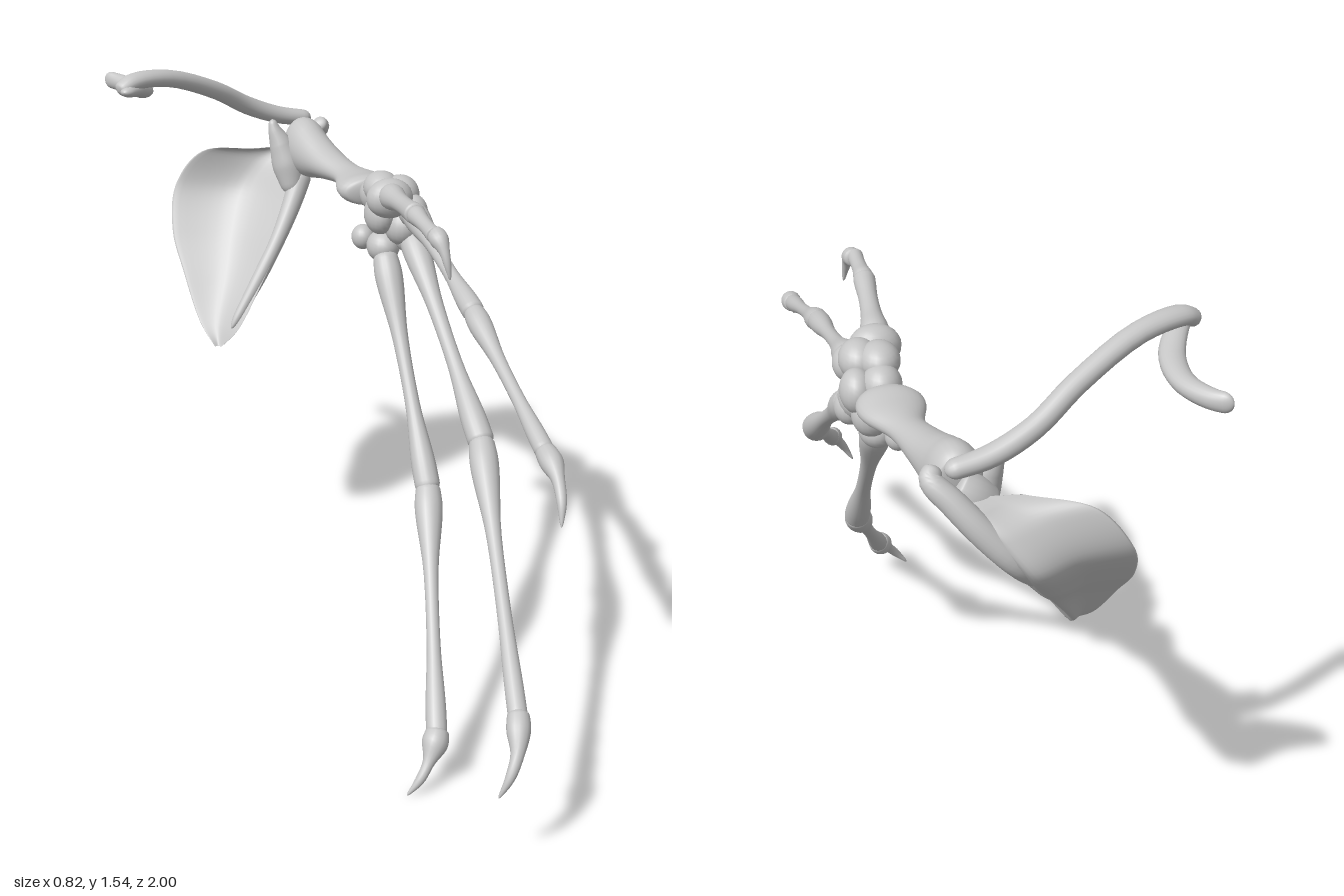
import * as THREE from 'three';

const V = (a) => new THREE.Vector3(a[0], a[1], a[2]);

// Skin a list of rings (each an array of Vector3, anticlockwise about the path) and close both ends
function skin(rings) {
  const n = rings[0].length, pos = [], idx = [];
  rings.forEach((r) => r.forEach((p) => pos.push(p.x, p.y, p.z)));
  for (let i = 0; i < rings.length - 1; i++) {
    for (let j = 0; j < n; j++) {
      const k = (j + 1) % n, a = i * n + j, b = i * n + k;
      idx.push(a, b, a + n, b, b + n, a + n);
    }
  }
  const last = (rings.length - 1) * n;
  [rings[0], rings[rings.length - 1]].forEach((r, e) => {
    const c = r.reduce((s, p) => s.add(p), new THREE.Vector3()).divideScalar(n);
    const ci = pos.length / 3;
    pos.push(c.x, c.y, c.z);
    for (let j = 0; j < n; j++) {
      const k = (j + 1) % n;
      if (e === 0) idx.push(ci, k, j);
      else idx.push(ci, last + j, last + k);
    }
  });
  const g = new THREE.BufferGeometry();
  g.setAttribute('position', new THREE.Float32BufferAttribute(pos, 3));
  g.setIndex(idx);
  g.computeVertexNormals();
  return g;
}

// Rounded bone through stations [x, y, z, half width, half height]
function boneGeometry(stations, cap = 0.08, rows = 36, sides = 20) {
  const path = new THREE.CatmullRomCurve3(stations.map(V));
  const size = new THREE.CatmullRomCurve3(
    stations.map((s) => new THREE.Vector3(s[3], s[4] ?? s[3], 0)), false, 'catmullrom');
  const rings = [];
  for (let i = 0; i <= rows; i++) {
    const t = (1 - Math.cos((Math.PI * i) / rows)) / 2;
    const s = Math.min(1, Math.min(t, 1 - t) / cap);
    const f = Math.max(0.02, Math.sqrt(1 - (1 - s) ** 2));
    const p = path.getPoint(t), dir = path.getTangent(t), r = size.getPoint(t);
    const u = new THREE.Vector3(0, 1, 0).cross(dir).normalize();
    const v = dir.clone().cross(u);
    const ring = [];
    for (let j = 0; j < sides; j++) {
      const a = (j / sides) * Math.PI * 2;
      ring.push(p.clone().addScaledVector(u, Math.cos(a) * r.x * f)
        .addScaledVector(v, Math.sin(a) * r.y * f));
    }
    rings.push(ring);
  }
  return skin(rings);
}

// Shoulder blade: rows of [inner edge, back ridge, outer edge], dished at the front
function bladeGeometry() {
  const rows = [
    [[-0.15, 0.715, -0.65], [-0.14, 0.715, -0.665], [-0.13, 0.715, -0.645]],
    [[-0.18, 0.77, -0.71], [-0.13, 0.77, -0.73], [-0.085, 0.77, -0.625]],
    [[-0.21, 0.9, -0.81], [-0.06, 0.9, -0.83], [0, 0.9, -0.665]],
    [[-0.225, 1.0, -0.89], [-0.02, 0.98, -0.91], [0.06, 1.0, -0.7]],
    [[-0.2, 1.12, -0.96], [0.03, 1.09, -0.995], [0.12, 1.1, -0.74]],
    [[-0.12, 1.22, -0.95], [0.09, 1.17, -0.975], [0.165, 1.19, -0.78]],
    [[0.03, 1.235, -0.89], [0.14, 1.23, -0.93], [0.19, 1.25, -0.83]],
  ].map((r) => {
    const [m, ridge, l] = r.map(V);
    const mid = m.clone().lerp(l, 0.5);
    return [m, mid.clone().lerp(ridge, 0.42), l,
      l.clone().lerp(ridge, 0.5).lerp(mid, 0.03), ridge,
      ridge.clone().lerp(m, 0.5).lerp(mid, 0.1)];
  });
  const columns = rows[0].map((_, j) => new THREE.CatmullRomCurve3(rows.map((r) => r[j])));
  const rings = [];
  for (let i = 0; i <= 48; i++) {
    const loop = new THREE.CatmullRomCurve3(columns.map((c) => c.getPoint(i / 48)), true);
    rings.push(Array.from({ length: 48 }, (_, j) => loop.getPoint(j / 48)));
  }
  return skin(rings);
}

export function createModel() {
  const model = new THREE.Group();
  model.name = 'foreLimbSkeleton';
  const bone = new THREE.MeshStandardMaterial({ color: 0xc6c6c6 });
  bone.name = 'boneGrey';

  const add = (name, geometry, parent = model) => {
    const m = new THREE.Mesh(geometry, bone);
    m.name = name;
    parent.add(m);
    return m;
  };

  // Shoulder girdle
  add('shoulderBlade', bladeGeometry());
  add('shoulderBladeSpine', boneGeometry([
    [-0.02, 1.0, -0.885, 0.02], [0.05, 1.1, -0.955, 0.03], [0.12, 1.175, -0.945, 0.032],
    [0.185, 1.245, -0.915, 0.03], [0.228, 1.29, -0.885, 0.026], [0.215, 1.31, -0.865, 0.02]]));
  add('shoulderBladeHook', boneGeometry([
    [0.12, 1.12, -0.78, 0.025], [0.112, 1.2, -0.81, 0.046], [0.092, 1.265, -0.82, 0.034],
    [0.076, 1.305, -0.825, 0.02], [0.068, 1.338, -0.83, 0.009]]));
  add('shoulderBladeBorder', boneGeometry([
    [-0.1, 0.77, -0.645, 0.012], [-0.01, 0.9, -0.685, 0.02], [0.055, 1.0, -0.72, 0.022],
    [0.112, 1.1, -0.765, 0.028], [0.155, 1.19, -0.81, 0.035]]));
  add('shoulderSocket', boneGeometry([
    [0.1, 1.18, -0.85, 0.045, 0.05], [0.14, 1.22, -0.855, 0.05, 0.055], [0.175, 1.24, -0.845, 0.045, 0.06]], 0.2));
  add('collarbone', boneGeometry([
    [-0.4, 1.495, -0.65, 0.022, 0.02], [-0.36, 1.515, -0.67, 0.03, 0.023],
    [-0.25, 1.507, -0.72, 0.028, 0.024], [-0.1, 1.442, -0.8, 0.026, 0.025],
    [0, 1.378, -0.855, 0.026, 0.026], [0.1, 1.335, -0.885, 0.027, 0.025],
    [0.2, 1.315, -0.9, 0.024, 0.022]], 0.04));
  add('breastPlate', boneGeometry([
    [-0.39, 1.5, -0.62, 0.02, 0.014], [-0.35, 1.49, -0.68, 0.026, 0.018],
    [-0.318, 1.465, -0.76, 0.03, 0.02], [-0.32, 1.452, -0.85, 0.028, 0.022],
    [-0.355, 1.45, -0.92, 0.022, 0.024], [-0.395, 1.455, -0.965, 0.012, 0.024]]));

  // Upper arm
  add('upperArm', boneGeometry([
    [0.16, 1.25, -0.865, 0.05, 0.07], [0.165, 1.252, -0.83, 0.062, 0.085],
    [0.175, 1.246, -0.77, 0.06, 0.073], [0.2, 1.24, -0.68, 0.053, 0.046],
    [0.232, 1.235, -0.58, 0.046, 0.03], [0.25, 1.232, -0.5, 0.076, 0.034],
    [0.255, 1.23, -0.45, 0.08, 0.042], [0.255, 1.23, -0.415, 0.06, 0.036]], 0.05, 48, 28));

  // Wrist: [x, y, z, half sizes]
  const wrist = new THREE.Group();
  wrist.name = 'wrist';
  model.add(wrist);
  [
    [0.262, 1.24, -0.375, 0.048, 0.05, 0.055], [0.26, 1.275, -0.32, 0.05, 0.045, 0.06],
    [0.26, 1.27, -0.24, 0.064, 0.054, 0.052], [0.305, 1.265, -0.29, 0.05, 0.05, 0.06],
    [0.32, 1.22, -0.36, 0.042, 0.055, 0.055], [0.325, 1.23, -0.24, 0.04, 0.045, 0.05],
    [0.312, 1.17, -0.3, 0.048, 0.055, 0.06], [0.29, 1.165, -0.38, 0.048, 0.055, 0.05],
    [0.272, 1.1, -0.34, 0.046, 0.045, 0.052], [0.23, 1.11, -0.4, 0.032, 0.035, 0.035],
    [0.33, 1.14, -0.29, 0.04, 0.045, 0.048], [0.255, 1.2, -0.32, 0.042, 0.055, 0.06],
  ].forEach(([x, y, z, a, b, c], i) => {
    const m = add(`wristBone${i + 1}`, new THREE.SphereGeometry(1, 20, 14), wrist);
    m.position.set(x, y, z);
    m.scale.set(a, b, c);
  });

  // Finger: straight bones between joints, then a knuckle that runs into a curved claw
  const shaft = (a, b, r0, rm, r1) => {
    const at = (t, r) => [...V(a).lerp(V(b), t).toArray(), r];
    return boneGeometry([at(-0.02, r0 * 0.85), at(0.1, r0), at(0.35, rm * 1.1),
      at(0.65, rm), at(0.88, r1 * 0.95), at(1.02, r1)], 0.05);
  };
  const finger = (name, joints, claw, radii) => {
    const g = new THREE.Group();
    g.name = name;
    model.add(g);
    for (let i = 0; i < joints.length - 1; i++) {
      add(`${name}Bone${i + 1}`, shaft(joints[i], joints[i + 1], ...radii[i]), g);
    }
    add(`${name}Claw`, boneGeometry(claw, 0.06, 28, 16), g);
  };

  finger('thumb',
    [[0.255, 1.285, -0.22], [0.25, 1.315, 0.03], [0.255, 1.308, 0.18]],
    [[0.26, 1.308, 0.165, 0.022], [0.264, 1.3, 0.195, 0.024], [0.27, 1.277, 0.22, 0.014],
      [0.275, 1.245, 0.235, 0.009], [0.28, 1.21, 0.242, 0.003]],
    [[0.035, 0.024, 0.028], [0.025, 0.019, 0.021]]);
  finger('firstFinger',
    [[0.32, 1.235, -0.23], [0.352, 1.11, 0.22], [0.382, 0.935, 0.68]],
    [[0.383, 0.937, 0.67, 0.024], [0.386, 0.922, 0.72, 0.028], [0.384, 0.903, 0.77, 0.016],
      [0.378, 0.868, 0.815, 0.012], [0.37, 0.818, 0.843, 0.003]],
    [[0.036, 0.019, 0.029], [0.03, 0.017, 0.024]]);
  finger('middleFinger',
    [[0.335, 1.15, -0.29], [0.372, 0.765, 0.26], [0.27, 0.35, 0.89]],
    [[0.274, 0.36, 0.88, 0.026], [0.262, 0.332, 0.92, 0.029], [0.247, 0.296, 0.96, 0.017],
      [0.222, 0.25, 0.985, 0.012], [0.195, 0.2, 0.988, 0.003]],
    [[0.038, 0.021, 0.035], [0.037, 0.018, 0.024]]);
  finger('outerFinger',
    [[0.27, 1.08, -0.31], [0.282, 0.565, 0.1], [0.165, 0.13, 0.6]],
    [[0.17, 0.14, 0.592, 0.028], [0.155, 0.113, 0.618, 0.034], [0.132, 0.08, 0.645, 0.016],
      [0.104, 0.042, 0.663, 0.012], [0.07, 0.003, 0.666, 0.003]],
    [[0.038, 0.02, 0.034], [0.037, 0.018, 0.027]]);

  return model;
}
